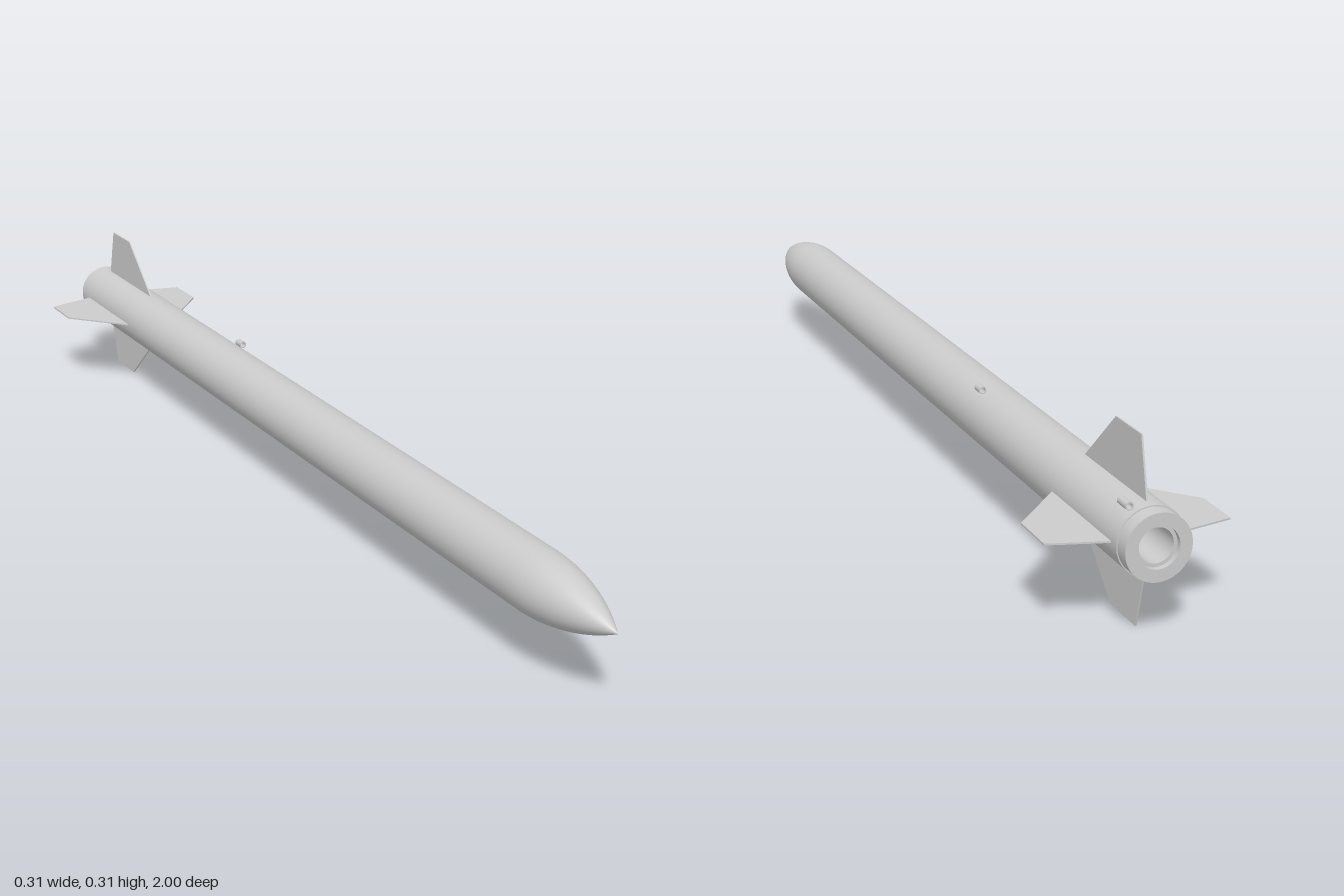
import * as THREE from 'three';

const R = 0.058;        // body radius
const AXIS = 0.157;     // height of the body axis
const material = new THREE.MeshStandardMaterial({ color: 0xcccccc, side: THREE.DoubleSide });

// Surface of revolution about z; profile given as [radius, z] running tail to nose
function turned(name, profile, segments = 64) {
  const points = profile.map(([r, z]) => new THREE.Vector2(r, z));
  const geometry = new THREE.LatheGeometry(points, segments).rotateX(Math.PI / 2);
  const mesh = new THREE.Mesh(geometry, material);
  mesh.name = name;
  return mesh;
}

// Each straight run of the profile becomes its own mesh, so the edges stay sharp
function turnedSharp(name, profile, segments) {
  const group = new THREE.Group();
  group.name = name;
  for (let i = 0; i < profile.length - 1; i++) {
    group.add(turned(name + 'Face', [profile[i], profile[i + 1]], segments));
  }
  return group;
}

// Tangent ogive from the shoulder to the tip
function noseProfile(base, tip, steps = 24) {
  const length = tip - base;
  const rho = (R * R + length * length) / (2 * R);
  const profile = [];
  for (let i = 0; i <= steps; i++) {
    const d = (length * i) / steps;
    profile.push([Math.max(0, Math.sqrt(rho * rho - d * d) + R - rho), base + d]);
  }
  return profile;
}

// Clipped-delta fin lying in the x-z plane, root slightly sunk into the body
function finGeometry() {
  const thickness = 0.003;
  const shape = new THREE.Shape([
    [R - 0.002, -0.728], [AXIS, -0.84], [AXIS, -0.93], [R - 0.002, -0.955],
  ].map(([x, z]) => new THREE.Vector2(x, -z)));
  return new THREE.ExtrudeGeometry(shape, { depth: thickness, bevelEnabled: false })
    .translate(0, 0, -thickness / 2)
    .rotateX(-Math.PI / 2);
}

export function createModel() {
  const model = new THREE.Group();
  model.name = 'rocket';

  const rocket = new THREE.Group();
  rocket.name = 'airframe';
  rocket.position.y = AXIS;
  model.add(rocket);

  // Body and nose
  rocket.add(turned('bodyTube', [[R, -0.973], [R, 0.78]]));
  rocket.add(turned('noseCone', noseProfile(0.78, 1)));

  // Hollow motor end with a small step down from the body
  rocket.add(turnedSharp('motorTail', [
    [0, -0.8], [0.029, -0.8], [0.029, -0.99], [0.035, -0.99], [0.035, -1],
    [0.056, -1], [0.056, -0.973], [R, -0.973],
  ]));

  // Four fins
  const fin = finGeometry();
  for (let i = 0; i < 4; i++) {
    const mesh = new THREE.Mesh(fin, material);
    mesh.name = 'fin';
    mesh.rotation.z = (i * Math.PI) / 2;
    rocket.add(mesh);
  }

  // Two hollow launch lugs resting on the upper side of the body
  for (const [z, length] of [[-0.348, 0.022], [-0.948, 0.03]]) {
    const h = length / 2, outer = 0.007, inner = 0.005;
    const lug = turnedSharp('launchLug', [
      [inner, h], [inner, -h], [outer, -h], [outer, h], [inner, h],
    ], 20);
    lug.position.set(0.033, 0.057, z);
    rocket.add(lug);
  }

  return model;
}
